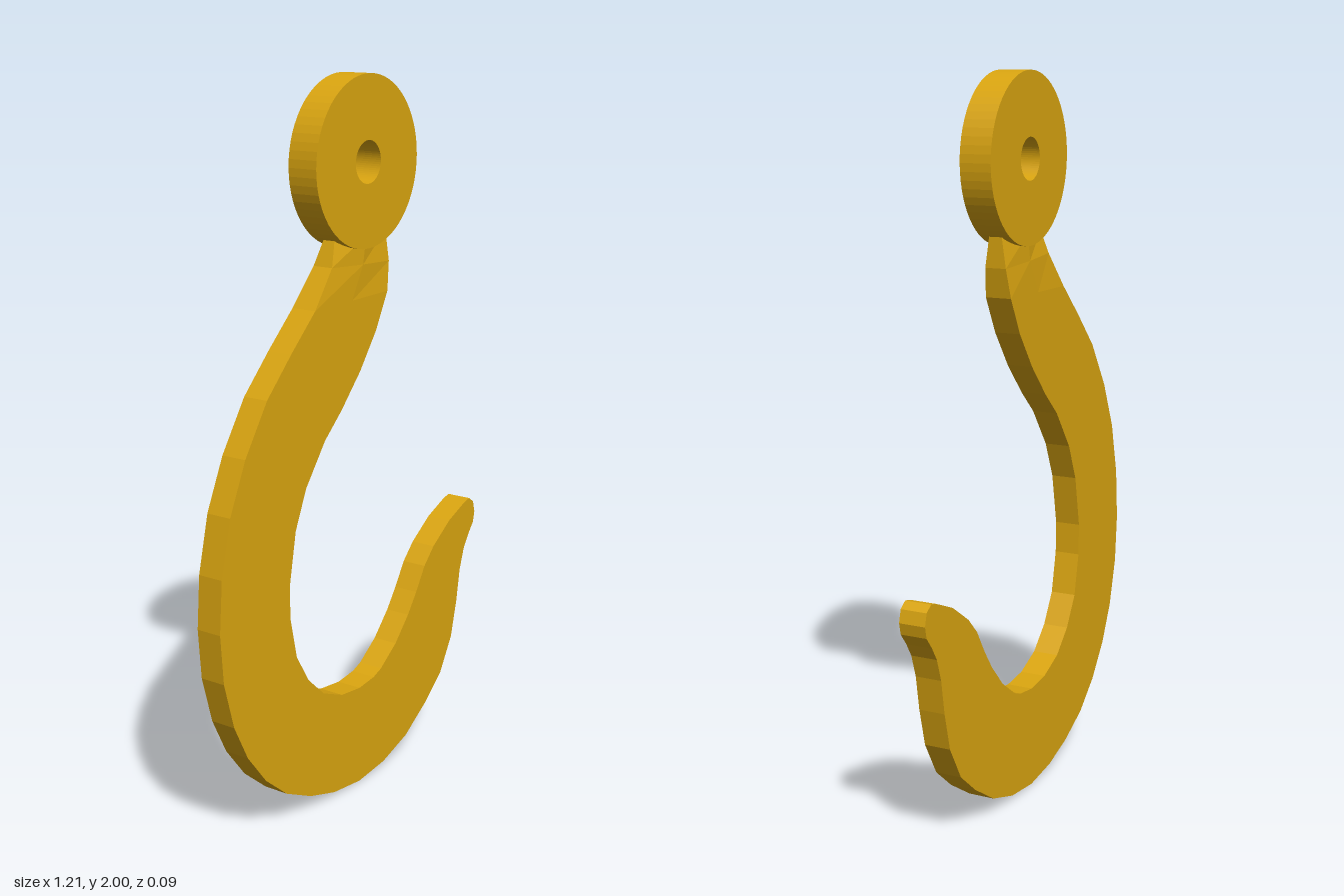
import * as THREE from 'three';

const HALF = 0.037; // half thickness of the hook

// Flat plate centred on z = 0
function plate(shape, depth, curveSegments = 12) {
  const g = new THREE.ExtrudeGeometry(shape, { depth, bevelEnabled: false, curveSegments });
  return g.translate(0, 0, -depth / 2);
}

// Neck: loops of six points, thick in the middle and thinning towards its edges
function neckGeometry() {
  const rows = [ // left x, y, right x, y, half thickness at the edges
    [-0.2, 1.41, 0.127, 1.415, HALF],
    [-0.117, 1.51, 0.143, 1.495, 0.03],
    [-0.09, 1.575, 0.143, 1.58, 0.018],
    [-0.07, 1.64, 0.13, 1.64, 0.014],
  ];
  const pos = [], index = [];
  for (const [lx, ly, rx, ry, e] of rows) {
    const mx = (lx + rx) / 2, my = (ly + ry) / 2;
    pos.push(lx, ly, e, mx, my, HALF, rx, ry, e, rx, ry, -e, mx, my, -HALF, lx, ly, -e);
  }
  for (let r = 0; r < rows.length - 1; r++) {
    for (let i = 0; i < 6; i++) {
      const a = r * 6 + i, b = r * 6 + (i + 1) % 6;
      index.push(a, b, b + 6, a, b + 6, a + 6);
    }
  }
  const g = new THREE.BufferGeometry();
  g.setAttribute('position', new THREE.Float32BufferAttribute(pos, 3));
  g.setIndex(index);
  const flat = g.toNonIndexed();
  flat.computeVertexNormals();
  return flat;
}

export function createModel() {
  const group = new THREE.Group();
  const gold = new THREE.MeshStandardMaterial({ color: 0xdaa510 });
  gold.name = 'gold';
  const add = (name, geometry) => {
    const mesh = new THREE.Mesh(geometry, gold);
    mesh.name = name;
    group.add(mesh);
  };

  // Outer edge from the neck round to the point
  const outer = [
    [-0.2, 1.41], [-0.302, 1.315], [-0.403, 1.214], [-0.493, 1.08], [-0.556, 0.943],
    [-0.593, 0.79], [-0.604, 0.646], [-0.593, 0.509], [-0.556, 0.376], [-0.503, 0.27],
    [-0.429, 0.175], [-0.34, 0.1], [-0.233, 0.048], [-0.122, 0.014], [0, 0],
    [0.122, 0.014], [0.238, 0.053], [0.344, 0.122], [0.424, 0.19], [0.482, 0.29],
    [0.509, 0.397], [0.525, 0.493], [0.546, 0.556], [0.57, 0.594], [0.597, 0.628],
    [0.604, 0.66], [0.595, 0.694], [0.572, 0.71],
  ];
  // Inner edge from the point back up to the neck
  const inner = [
    [0.546, 0.704], [0.461, 0.668], [0.376, 0.61], [0.329, 0.562], [0.286, 0.493],
    [0.244, 0.435], [0.18, 0.366], [0.106, 0.313], [0.07, 0.299], [0, 0.29],
    [-0.085, 0.299], [-0.17, 0.334], [-0.238, 0.397], [-0.29, 0.482], [-0.316, 0.6],
    [-0.318, 0.69], [-0.29, 0.838], [-0.244, 0.943], [-0.16, 1.055], [-0.085, 1.123],
    [0, 1.214], [0.074, 1.314], [0.127, 1.415],
  ];
  const hook = new THREE.Shape([...outer, ...inner].map(([x, y]) => new THREE.Vector2(x, y)));
  add('hook', plate(hook, HALF * 2));
  add('neck', neckGeometry());

  // Round eye with a hole
  const eye = new THREE.Shape().absarc(0.026, 1.772, 0.228, 0, Math.PI * 2);
  eye.holes.push(new THREE.Path().absarc(0.026, 1.772, 0.057, 0, Math.PI * 2, true));
  add('eye', plate(eye, 0.088, 32));

  return group;
}
